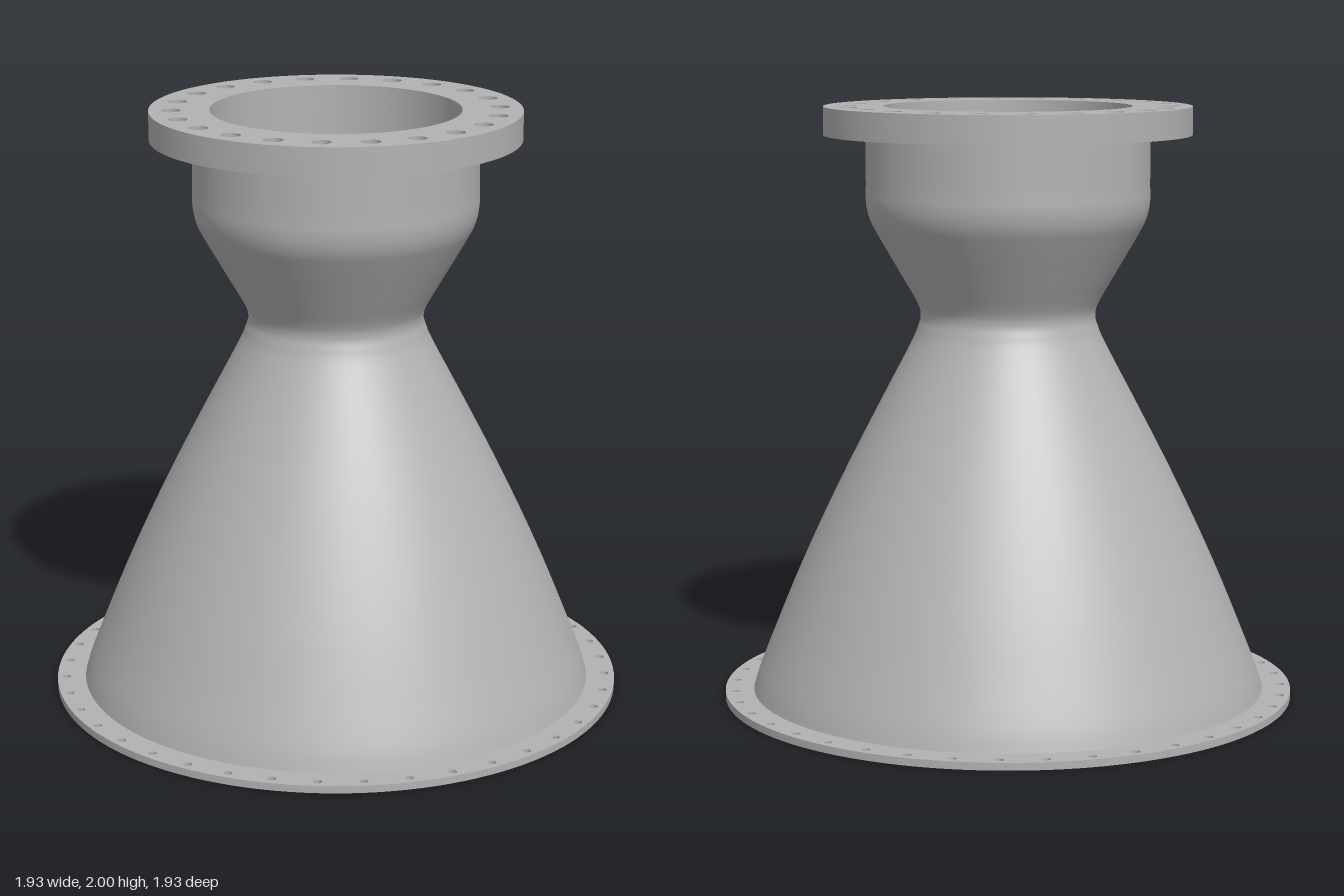
import * as THREE from 'three';
import { toCreasedNormals } from 'three/addons/utils/BufferGeometryUtils.js';

const SEGMENTS = 128;

// Points around a circle, optionally off-centre
function circle(radius, count, cx = 0, cy = 0) {
  return Array.from({ length: count }, (_, i) => {
    const a = (i / count) * Math.PI * 2;
    return new THREE.Vector2(cx + radius * Math.cos(a), cy + radius * Math.sin(a));
  });
}

// Flat ring with a circle of bolt holes, lying between y0 and y1
function flangeGeometry({ outer, inner, y0, y1, bolts, boltCircle, boltRadius, offset }) {
  const shape = new THREE.Shape(circle(outer, SEGMENTS));
  shape.holes.push(new THREE.Path(circle(inner, SEGMENTS)));
  for (let i = 0; i < bolts; i++) {
    const a = offset + (i / bolts) * Math.PI * 2;
    shape.holes.push(new THREE.Path(
      circle(boltRadius, 20, boltCircle * Math.cos(a), boltCircle * Math.sin(a))));
  }
  const geometry = new THREE.ExtrudeGeometry(shape, { depth: y1 - y0, bevelEnabled: false });
  geometry.rotateX(-Math.PI / 2).translate(0, y0, 0);
  return toCreasedNormals(geometry, Math.PI / 5);
}

// Smooth wall turned from [radius, height] points
function wallGeometry(points) {
  const curve = new THREE.SplineCurve(points.map(([r, y]) => new THREE.Vector2(r, y)));
  return new THREE.LatheGeometry(curve.getPoints(96), SEGMENTS);
}

export function createModel() {
  const model = new THREE.Group();
  model.name = 'nozzle';
  const metal = new THREE.MeshStandardMaterial({ color: 0xb2b2b2 });
  metal.name = 'grey metal';

  const add = (name, geometry) => {
    const mesh = new THREE.Mesh(geometry, metal);
    mesh.name = name;
    model.add(mesh);
  };

  // Outside of bell, throat and chamber, bottom to top
  add('outerWall', wallGeometry([
    [0.87, 0.025], [0.85, 0.09], [0.807, 0.2], [0.725, 0.4], [0.635, 0.6],
    [0.538, 0.8], [0.435, 1.0], [0.33, 1.2], [0.304, 1.26], [0.294, 1.3],
    [0.306, 1.345], [0.36, 1.44], [0.435, 1.57], [0.463, 1.625],
    [0.475, 1.68], [0.475, 1.75], [0.475, 1.905],
  ]));

  // Inside passage, top to bottom
  add('innerWall', wallGeometry([
    [0.415, 1.905], [0.415, 1.75], [0.415, 1.67], [0.403, 1.615], [0.378, 1.56],
    [0.31, 1.44], [0.256, 1.345], [0.243, 1.3], [0.254, 1.25], [0.282, 1.2],
    [0.39, 1.0], [0.495, 0.8], [0.595, 0.6], [0.687, 0.4], [0.772, 0.2],
    [0.84, 0.025],
  ]));

  // Thick flange above the chamber
  add('topFlange', flangeGeometry({
    outer: 0.615, inner: 0.415, y0: 1.905, y1: 2,
    bolts: 22, boltCircle: 0.54, boltRadius: 0.032, offset: Math.PI / 2,
  }));

  // Thin flange around the bell exit
  add('bottomFlange', flangeGeometry({
    outer: 0.967, inner: 0.84, y0: 0, y1: 0.025,
    bolts: 40, boltCircle: 0.935, boltRadius: 0.014, offset: Math.PI / 40,
  }));

  return model;
}
